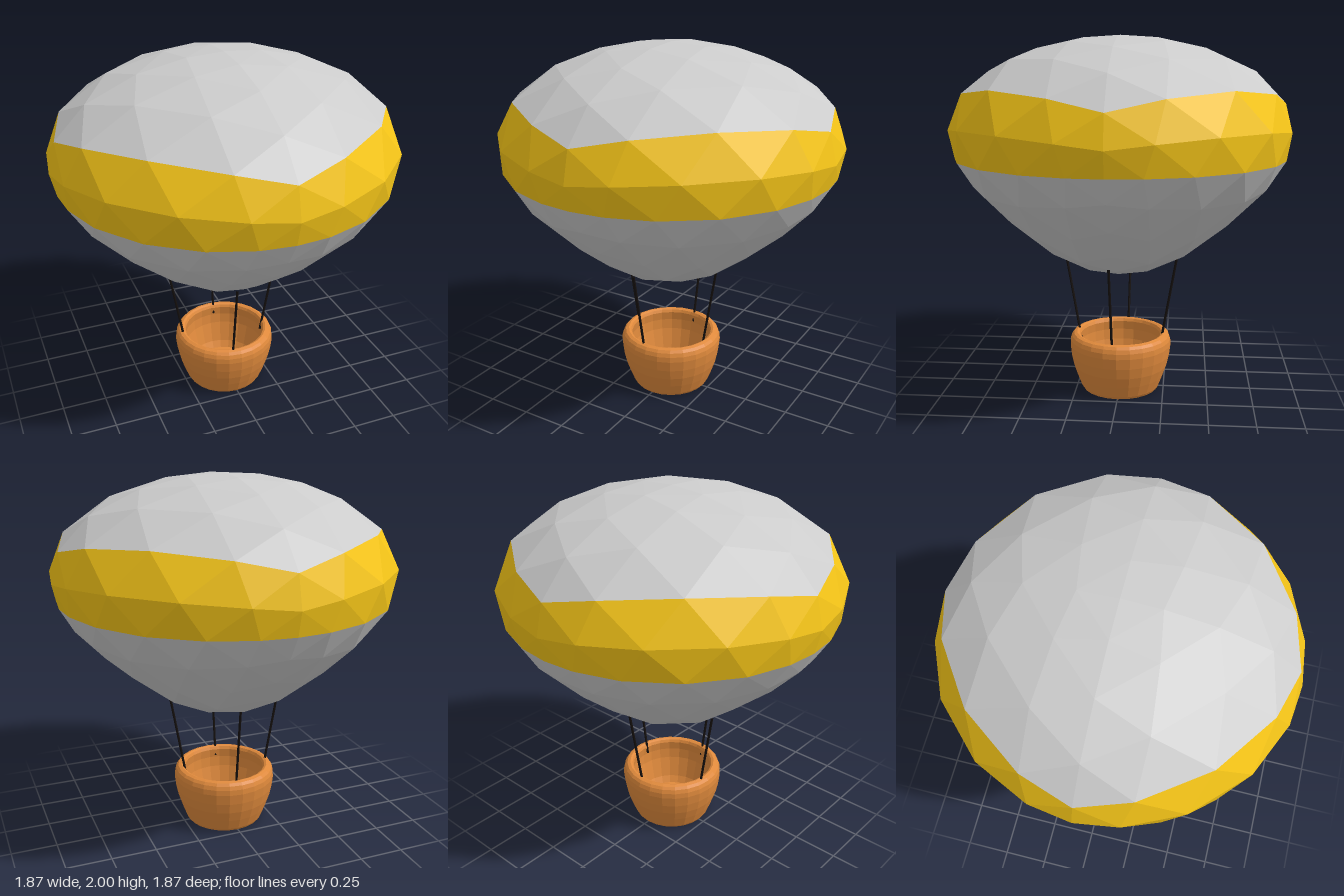
import * as THREE from 'three';

const material = (color, extra = {}) =>
  new THREE.MeshStandardMaterial({ color, flatShading: true, ...extra });

// Horizontal fullness of the envelope against height (-1 bottom, 1 top)
const FULLNESS = [
  [-1, 0.66], [-0.894, 0.665], [-0.707, 0.67], [-0.447, 0.755], [-0.196, 0.847], [0, 0.905],
  [0.196, 0.954], [0.267, 0.965], [0.447, 1.0], [0.577, 1.02], [0.707, 1.032], [1, 1.03],
];
function fullness(y) {
  for (let i = 1; i < FULLNESS.length; i++) {
    const [y0, s0] = FULLNESS[i - 1], [y1, s1] = FULLNESS[i];
    if (y <= y1) return s0 + (s1 - s0) * (y - y0) / (y1 - y0);
  }
  return 1.03;
}

// Shaped envelope panels whose facet ring (-6 to 6) lies between two limits
function envelopePart(name, color, from, to) {
  const p = new THREE.OctahedronGeometry(1, 5).getAttribute('position');
  const out = [];
  const v = new THREE.Vector3();
  for (let f = 0; f < p.count; f += 3) {
    let ring = 0;
    for (let k = 0; k < 3; k++) {
      v.fromBufferAttribute(p, f + k);
      ring += 2 * v.y / (Math.abs(v.x) + Math.abs(v.y) + Math.abs(v.z));
    }
    if (ring < from || ring > to) continue;
    for (let k = 0; k < 3; k++) {
      v.fromBufferAttribute(p, f + k);
      const s = fullness(v.y);
      out.push(v.x * s, 1.345 + v.y * 0.655, v.z * s);
    }
  }
  const g = new THREE.BufferGeometry();
  g.setAttribute('position', new THREE.Float32BufferAttribute(out, 3));
  g.computeVertexNormals();
  const mesh = new THREE.Mesh(g, material(color));
  mesh.name = name;
  return mesh;
}

export function createModel() {
  const model = new THREE.Group();
  model.name = 'hotAirBalloon';

  // Envelope with a coloured band
  const envelope = new THREE.Group();
  envelope.name = 'envelope';
  envelope.add(
    envelopePart('envelopeTop', 0xcccccc, 2, 6),
    envelopePart('envelopeBand', 0xf5c518, 0, 2),
    envelopePart('envelopeBottom', 0xcccccc, -6, 0),
  );
  model.add(envelope);

  // Hollow basket with a rounded rim
  const profile = [
    [0, 0.005], [0.215, 0.005], [0.225, 0.015], [0.25, 0.08], [0.27, 0.14], [0.283, 0.2],
    [0.29, 0.26], [0.288, 0.29], [0.28, 0.312], [0.268, 0.326], [0.25, 0.332],
    [0.237, 0.326], [0.23, 0.31], [0.235, 0.26], [0.23, 0.2], [0.2, 0.08], [0.18, 0.04], [0, 0.04],
  ].map(([r, y]) => new THREE.Vector2(r, y === 0.005 ? 0 : y));
  const basket = new THREE.Mesh(
    new THREE.LatheGeometry(profile, 24),
    material(0xe08a3c, { side: THREE.DoubleSide }),
  );
  basket.name = 'basket';
  model.add(basket);

  // Four ropes, flaring from the basket rim to the envelope
  const ropes = new THREE.Group();
  ropes.name = 'ropes';
  const ropeMaterial = material(0x15100e);
  for (let i = 0; i < 4; i++) {
    const a = i * Math.PI / 2 + 0.12;
    const at = (r, y) => new THREE.Vector3(r * Math.cos(a) - 0.008, y, r * Math.sin(a));
    const path = new THREE.LineCurve3(at(0.234, 0.27), at(0.322, 0.775));
    const rope = new THREE.Mesh(new THREE.TubeGeometry(path, 1, 0.007, 8), ropeMaterial);
    rope.name = 'rope';
    ropes.add(rope);
  }
  model.add(ropes);

  return model;
}
